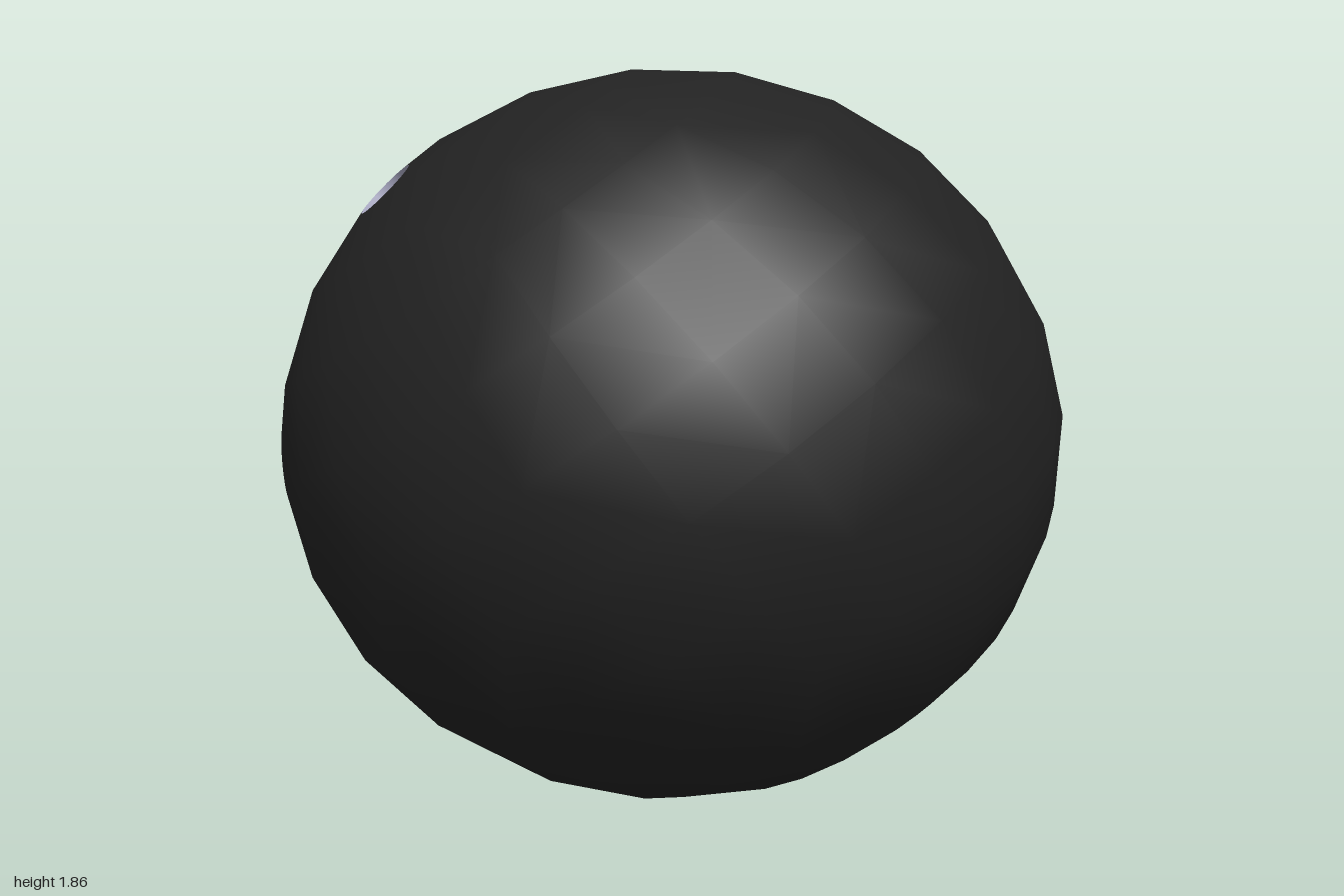
import * as THREE from 'three';
import { ConvexGeometry } from 'three/addons/geometries/ConvexGeometry.js';

const HALF_HEIGHT = 0.935;
const HOLE_SIDES = 24;
const HOLE_DEPTH = 0.45;
const UP = new THREE.Vector3(0, 1, 0);

// Finger holes: direction from the ball's centre, and radius
const HOLES = [
  { name: 'thumbHole', dir: [-0.815, -0.07, 0.575], r: 0.102 },
  { name: 'frontFingerHole', dir: [-0.53, 0.68, 0.51], r: 0.087 },
  { name: 'rearFingerHole', dir: [-0.745, 0.645, 0.2], r: 0.087 },
].map(({ name, dir, r }) => {
  const axis = new THREE.Vector3(...dir).normalize();
  const turn = new THREE.Quaternion().setFromUnitVectors(UP, axis);
  return { name, axis, turn, r, rimHeight: Math.sqrt(1 - r * r) };
});

// Points on the unit ball: tilted rows and poles, plus a ring around each hole
function ballPoints() {
  const points = [];
  const tilt = new THREE.Quaternion().setFromEuler(new THREE.Euler(0.35, 0.1, 0.5));
  const rows = 12, sides = 24;
  for (let i = 0; i <= rows; i++) {
    const count = i === 0 || i === rows ? 1 : sides;
    for (let j = 0; j < count; j++) {
      const p = new THREE.Vector3()
        .setFromSphericalCoords(1, (i / rows) * Math.PI, (j / sides) * Math.PI * 2)
        .applyQuaternion(tilt);
      if (HOLES.every((h) => p.angleTo(h.axis) > Math.asin(h.r) + 0.05)) points.push(p);
    }
  }
  for (const h of HOLES) {
    for (let j = 0; j < HOLE_SIDES; j++) {
      const t = (j / HOLE_SIDES) * Math.PI * 2;
      points.push(
        new THREE.Vector3(h.r * Math.sin(t), h.rimHeight, h.r * Math.cos(t)).applyQuaternion(h.turn)
      );
    }
  }
  return points;
}

// Skin the points, then leave out the triangles that would cover the holes
function shellGeometry() {
  const hull = new ConvexGeometry(ballPoints()).getAttribute('position');
  const kept = [];
  for (let i = 0; i < hull.count; i += 3) {
    const tri = [0, 1, 2].map((k) => new THREE.Vector3().fromBufferAttribute(hull, i + k));
    const covers = HOLES.some((h) => tri.every((v) => v.dot(h.axis) > h.rimHeight - 1e-4));
    if (!covers) tri.forEach((v) => kept.push(v.x, v.y, v.z));
  }
  const geometry = new THREE.BufferGeometry();
  geometry.setAttribute('position', new THREE.Float32BufferAttribute(kept, 3));
  // On a unit ball the smooth normal equals the position
  geometry.setAttribute('normal', new THREE.Float32BufferAttribute(kept, 3));
  return geometry;
}

// Bored hole: open wall and a flat floor
function makeHole({ name, turn, r, rimHeight }, material) {
  const hole = new THREE.Group();
  hole.name = name;
  const wall = new THREE.Mesh(
    new THREE.CylinderGeometry(r, r, HOLE_DEPTH, HOLE_SIDES, 1, true), material);
  wall.name = name + 'Wall';
  wall.position.y = rimHeight - HOLE_DEPTH / 2;
  const floor = new THREE.Mesh(new THREE.CircleGeometry(r, HOLE_SIDES), material);
  floor.name = name + 'Floor';
  floor.rotation.x = -Math.PI / 2;
  floor.position.y = rimHeight - HOLE_DEPTH;
  hole.add(wall, floor);
  hole.quaternion.copy(turn);
  return hole;
}

export function createModel() {
  const model = new THREE.Group();
  model.name = 'bowlingBall';

  // Slightly flattened ball standing on the ground
  const ball = new THREE.Group();
  ball.name = 'ball';
  ball.scale.y = HALF_HEIGHT;
  ball.position.y = HALF_HEIGHT;
  model.add(ball);

  const shell = new THREE.Mesh(
    shellGeometry(), new THREE.MeshStandardMaterial({ color: 0x222222 }));
  shell.name = 'shell';
  ball.add(shell);

  const holeMaterial = new THREE.MeshStandardMaterial({ color: 0xaaaac4, side: THREE.DoubleSide });
  for (const h of HOLES) ball.add(makeHole(h, holeMaterial));
  return model;
}
